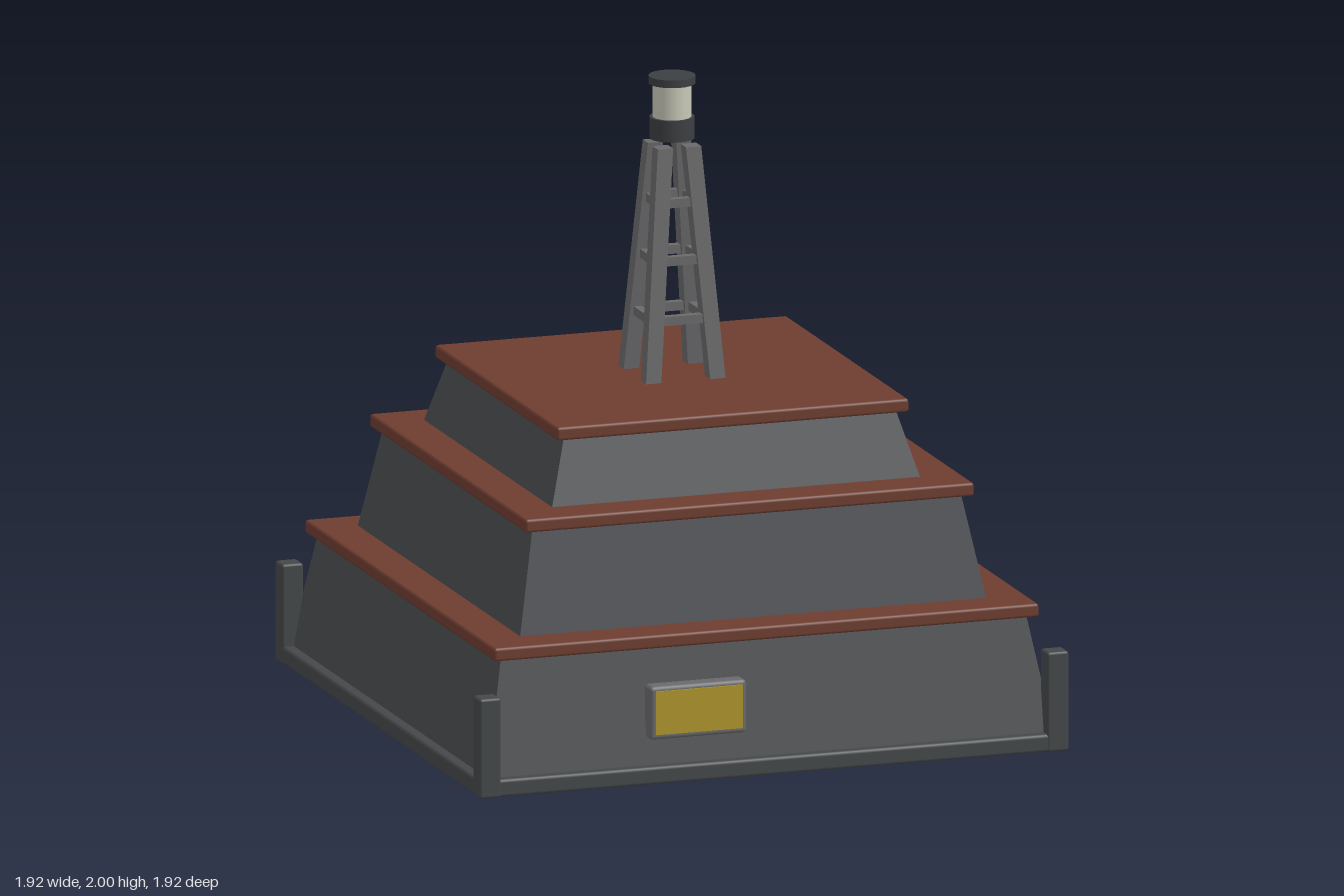
import * as THREE from 'three';
import { RoundedBoxGeometry } from 'three/addons/geometries/RoundedBoxGeometry.js';

const mat = (color) => new THREE.MeshStandardMaterial({ color });

export function createModel() {
  const model = new THREE.Group();
  const stone = mat(0x4a4d50), trim = mat(0x45484a), red = mat(0x6e3d30), steel = mat(0x6a6a6c);
  const gold = mat(0xb0962c), cloth = mat(0x242220), glass = mat(0xc8c8b8), dark = mat(0x3c3f42);

  const add = (name, geometry, material, x = 0, y = 0, z = 0, parent = model) => {
    const mesh = new THREE.Mesh(geometry, material);
    mesh.name = name;
    mesh.position.set(x, y, z);
    parent.add(mesh);
    return mesh;
  };
  // Box with chamfered edges
  const bevelBox = (w, h, d, r) => new RoundedBoxGeometry(w, h, d, 1, r);
  // Square block whose half width and centre run from the bottom values to the top values
  const taper = (half0, half1, y0, y1, x0 = 0, z0 = 0, x1 = 0, z1 = 0) => {
    const g = new THREE.BoxGeometry(2, 1, 2), p = g.attributes.position;
    for (let i = 0; i < p.count; i++) {
      const top = p.getY(i) > 0, h = top ? half1 : half0;
      p.setXYZ(i, p.getX(i) * h + (top ? x1 : x0), top ? y1 : y0, p.getZ(i) * h + (top ? z1 : z0));
    }
    g.computeVertexNormals();
    return g;
  };

  // Plinth with corner posts
  add('plinth', bevelBox(1.92, 0.055, 1.92, 0.01), trim, 0, 0.0275, 0);
  for (const sx of [-1, 1]) for (const sz of [-1, 1])
    add('cornerPost', bevelBox(0.07, 0.315, 0.07, 0.008), trim, sx * 0.927, 0.1575, sz * 0.927);

  // Three sloping tiers, each with an overhanging roof plate:
  // [bottom half, top half, y bottom, y top, plate half, plate top]
  const tiers = [
    [0.927, 0.857, 0.04, 0.42, 0.89, 0.455],
    [0.762, 0.698, 0.45, 0.785, 0.733, 0.815],
    [0.602, 0.54, 0.81, 1.025, 0.575, 1.058],
  ];
  for (const [b, t, y0, y1, plate, top] of tiers) {
    add('tierWall', taper(b, t, y0, y1), stone);
    add('roofPlate', bevelBox(plate * 2, 0.042, plate * 2, 0.009), red, 0, top - 0.021, 0);
  }

  // Front sign
  add('signFrame', bevelBox(0.315, 0.168, 0.065, 0.012), steel, -0.243, 0.222, 0.917);
  add('signPanel', new THREE.BoxGeometry(0.283, 0.138, 0.02), gold, -0.243, 0.224, 0.945);

  // Back banner hanging below its rod
  add('banner', bevelBox(0.355, 0.39, 0.06, 0.005), cloth, 0, 0.327, -0.877);
  add('bannerRod', bevelBox(0.41, 0.03, 0.022, 0.007), gold, 0, 0.546, -0.916);

  // Lattice tower
  const tower = new THREE.Group();
  tower.name = 'tower';
  model.add(tower);
  const low = 0.105, high = 0.046, yLow = 1.055, yHigh = 1.785;
  for (const sx of [-1, 1]) for (const sz of [-1, 1])
    add('towerLeg', taper(0.025, 0.025, yLow, yHigh, sx * low, sz * low, sx * high, sz * high),
      steel, 0, 0, 0, tower);
  for (const y of [1.245, 1.43, 1.61]) {
    const r = THREE.MathUtils.mapLinear(y, yLow, yHigh, low, high);
    for (const s of [-1, 1]) {
      add('crossBar', new THREE.BoxGeometry(r * 2, 0.028, 0.026), steel, 0, y, s * r, tower);
      add('crossBar', new THREE.BoxGeometry(0.026, 0.028, r * 2), steel, s * r, y, 0, tower);
    }
  }

  // Lantern
  const drum = (name, r, y0, y1, m) =>
    add(name, new THREE.CylinderGeometry(r, r, y1 - y0, 24), m, 0, (y0 + y1) / 2, 0, tower);
  drum('lanternBase', 0.07, 1.802, 1.87, dark);
  drum('lanternGlass', 0.06, 1.87, 1.978, glass);
  drum('lanternCap', 0.073, 1.976, 2, dark);

  return model;
}
